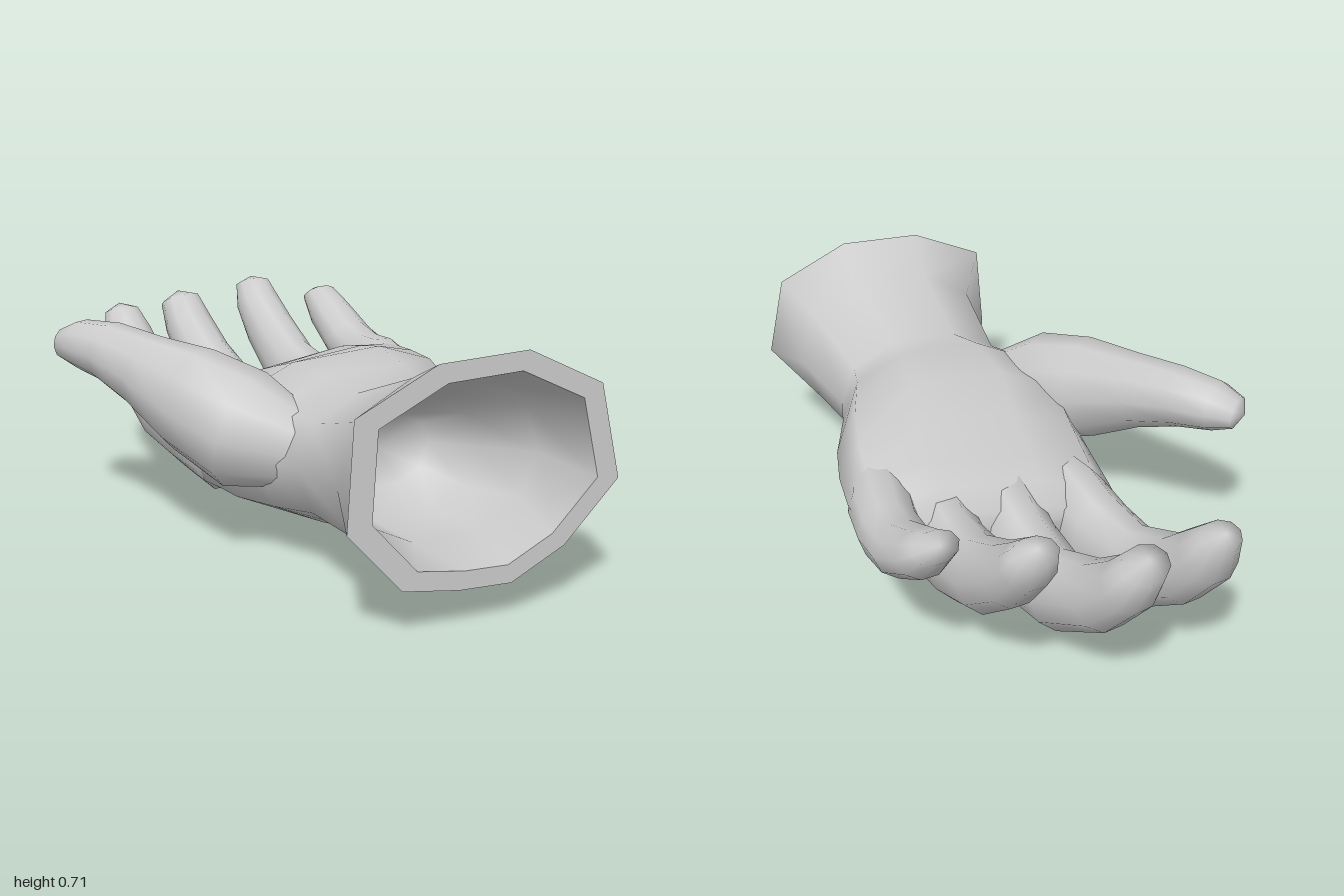
import * as THREE from 'three';
import { mergeVertices } from 'three/addons/utils/BufferGeometryUtils.js';

const V = (x, y, z) => new THREE.Vector3(x, y, z);
const rounded = (v, p) => Math.sign(v) * Math.pow(Math.abs(v), p);

// Skin a list of equal-length rings into one smooth surface
function loft(rings) {
  const n = rings[0].length, index = [];
  for (let i = 0; i < rings.length - 1; i++) {
    for (let j = 0; j < n; j++) {
      const a = i * n + j, b = i * n + (j + 1) % n;
      index.push(a, a + n, b, b, a + n, b + n);
    }
  }
  let geo = new THREE.BufferGeometry().setFromPoints(rings.flat());
  geo.setIndex(index);
  geo = mergeVertices(geo, 1e-5);
  geo.computeVertexNormals();
  return geo;
}

const SIDES = 10;
const point = (x, y, z) => Array.from({ length: SIDES }, () => V(x, y, z));

// Cross-section of wrist or palm: [z, left x, right x, left edge y, right edge y, bottom y, top y]
function bodyRing([z, x0, x1, y0, y1, bottom, top]) {
  return Array.from({ length: SIDES }, (_, j) => {
    const a = (j / SIDES) * Math.PI * 2;
    const c = rounded(Math.cos(a), 0.85), s = rounded(Math.sin(a), 0.9);
    const mid = (y0 + y1) / 2;
    const y = mid + (y1 - y0) / 2 * c + s * (s > 0 ? top - mid : mid - bottom) / 0.96;
    return V((x0 + x1) / 2 + (x1 - x0) / 2 * c, y, z);
  });
}

// Uneven outline of the open wrist end, leaning back towards the top
const CUFF = [
  [0.535, 0.34], [0.475, 0.605], [0.24, 0.715], [-0.03, 0.705], [-0.27, 0.595],
  [-0.295, 0.31], [-0.14, 0.14], [0.03, 0.113], [0.19, 0.105], [0.36, 0.18],
];
const cuffRing = scale => CUFF.map(([px, py]) => {
  const x = 0.125 + (px - 0.125) * scale, y = 0.405 + (py - 0.405) * scale;
  return V(x, y, 0.98 - (y - 0.41) * 0.06);
});

// Finger along a path of [x, y, z, half width, half thickness]
function finger(path, tip) {
  const centres = path.map(p => V(p[0], p[1], p[2]));
  const rings = path.map((p, i) => {
    const t = centres[Math.min(i + 1, path.length - 1)].clone()
      .sub(centres[Math.max(i - 1, 0)]).normalize();
    const side = t.clone().cross(V(0, 1, 0)).normalize();
    const up = side.clone().cross(t);
    return Array.from({ length: SIDES }, (_, j) => {
      const a = (j / SIDES) * Math.PI * 2;
      return centres[i].clone()
        .addScaledVector(side, Math.cos(a) * p[3])
        .addScaledVector(up, Math.sin(a) * p[4]);
    });
  });
  return loft([...rings, point(...tip)]);
}

const BODY = [
  [0.78, -0.21, 0.47, 0.35, 0.37, 0.135, 0.63],
  [0.50, -0.185, 0.41, 0.32, 0.34, 0.12, 0.525],
  [0.36, -0.25, 0.45, 0.32, 0.35, 0.10, 0.55],
  [0.15, -0.28, 0.53, 0.31, 0.37, 0.065, 0.55],
  [-0.03, -0.26, 0.575, 0.29, 0.39, 0.045, 0.505],
  [-0.20, -0.245, 0.60, 0.27, 0.41, 0.025, 0.46],
  [-0.28, -0.235, 0.595, 0.26, 0.40, 0.07, 0.42],
  [-0.34, -0.18, 0.52, 0.26, 0.37, 0.15, 0.36],
];

const INNER = [
  [0.78, -0.16, 0.42, 0.36, 0.37, 0.17, 0.59],
  [0.58, -0.13, 0.36, 0.33, 0.34, 0.16, 0.50],
  [0.46, -0.05, 0.27, 0.33, 0.33, 0.22, 0.43],
];

const INDEX = [
  [-0.09, 0.27, -0.06, 0.08, 0.12],
  [-0.105, 0.215, -0.24, 0.115, 0.185],
  [-0.125, 0.21, -0.40, 0.112, 0.152],
  [-0.16, 0.225, -0.58, 0.095, 0.125],
  [-0.185, 0.335, -0.76, 0.095, 0.10],
  [-0.20, 0.445, -0.86, 0.093, 0.085],
  [-0.205, 0.53, -0.905, 0.065, 0.05],
];
const MIDDLE = [
  [0.12, 0.27, -0.06, 0.08, 0.14],
  [0.125, 0.212, -0.23, 0.12, 0.215],
  [0.12, 0.215, -0.40, 0.11, 0.155],
  [0.11, 0.235, -0.60, 0.10, 0.122],
  [0.08, 0.35, -0.80, 0.097, 0.10],
  [0.06, 0.46, -0.91, 0.092, 0.08],
  [0.045, 0.545, -0.955, 0.08, 0.058],
];
const RING = [
  [0.33, 0.31, -0.06, 0.08, 0.12],
  [0.335, 0.265, -0.23, 0.108, 0.175],
  [0.335, 0.28, -0.40, 0.10, 0.135],
  [0.33, 0.34, -0.58, 0.092, 0.112],
  [0.32, 0.45, -0.74, 0.09, 0.09],
  [0.31, 0.54, -0.83, 0.083, 0.07],
  [0.31, 0.60, -0.87, 0.067, 0.047],
];
const LITTLE = [
  [0.47, 0.39, -0.02, 0.07, 0.08],
  [0.505, 0.385, -0.22, 0.097, 0.11],
  [0.525, 0.392, -0.36, 0.092, 0.092],
  [0.53, 0.43, -0.50, 0.09, 0.08],
  [0.522, 0.51, -0.64, 0.08, 0.07],
  [0.512, 0.57, -0.71, 0.068, 0.045],
];
const THUMB = [
  [-0.11, 0.34, 0.42, 0.07, 0.11],
  [-0.24, 0.385, 0.27, 0.165, 0.18],
  [-0.33, 0.445, 0.10, 0.145, 0.165],
  [-0.41, 0.50, -0.07, 0.108, 0.12],
  [-0.475, 0.54, -0.22, 0.098, 0.095],
  [-0.535, 0.55, -0.33, 0.082, 0.078],
  [-0.575, 0.545, -0.385, 0.058, 0.05],
];

export function createModel() {
  const hand = new THREE.Group();
  hand.name = 'hand';
  const material = new THREE.MeshStandardMaterial({ color: 0xcccccc });
  const add = (name, geo) => {
    const mesh = new THREE.Mesh(geo, material);
    mesh.name = name;
    hand.add(mesh);
  };

  // Wrist and palm, closed at the roots of the fingers
  const outerRim = cuffRing(1), innerRim = cuffRing(0.83);
  add('wristAndPalm', loft([outerRim, ...BODY.map(bodyRing), point(0.16, 0.28, -0.35)]));

  // Hollow cuff: flat rim and rounded inner wall
  add('wristRim', loft([innerRim, outerRim]));
  add('wristHollow', loft([point(0.11, 0.33, 0.43), ...INNER.map(bodyRing).reverse(), innerRim]));

  // Fingers curl upward, palm facing up
  add('indexFinger', finger(INDEX, [-0.205, 0.555, -0.93]));
  add('middleFinger', finger(MIDDLE, [0.045, 0.575, -0.975]));
  add('ringFinger', finger(RING, [0.31, 0.625, -0.885]));
  add('littleFinger', finger(LITTLE, [0.51, 0.59, -0.735]));
  add('thumb', finger(THUMB, [-0.59, 0.545, -0.403]));

  return hand;
}
